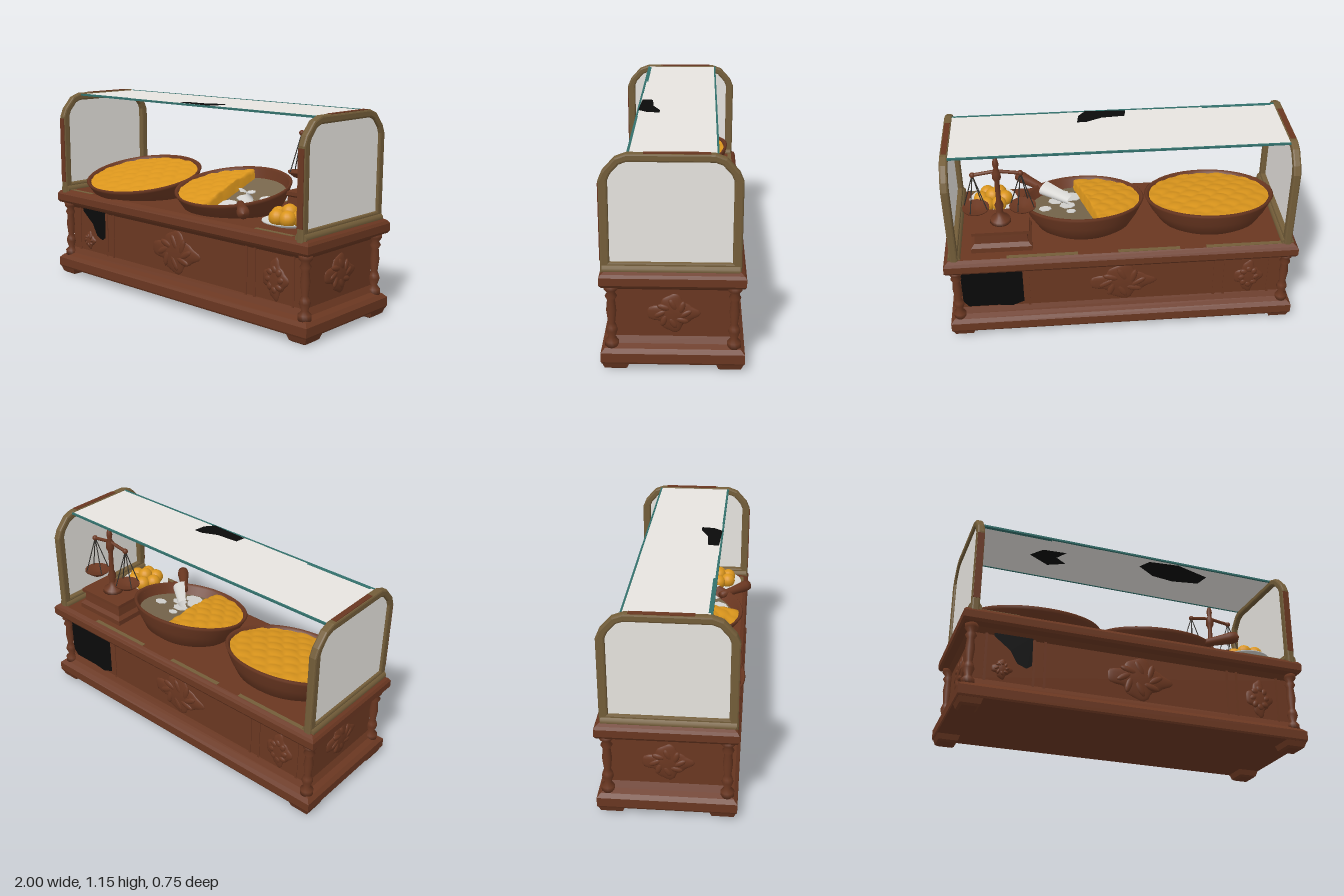
import * as THREE from 'three';

const mat = (name, color, side = THREE.FrontSide) => {
  const m = new THREE.MeshStandardMaterial({ color, side });
  m.name = name;
  return m;
};
const wood = mat('brown wood', 0x6a3721);
const brass = mat('aged brass', 0x735d39);
const glass = mat('pale glass', 0xe9e6e1, THREE.DoubleSide);
const gold = mat('golden food', 0xda951c, THREE.DoubleSide);
const black = mat('black', 0x0a0a0a, THREE.DoubleSide);
const teal = mat('teal edge', 0x33706c);
const taupe = mat('taupe lining', 0x77664c);
const silver = mat('silver', 0xd6d5d2, THREE.DoubleSide);
const iron = mat('dark iron', 0x33302c);

const CZ = -0.015, HX = 1, HZ = 0.365; // counter centre and half sizes

export function createModel() {
  const root = new THREE.Group();
  const add = (name, geo, m, x = 0, y = 0, z = 0, parent = root) => {
    const mesh = new THREE.Mesh(geo, m);
    mesh.name = name;
    mesh.position.set(x, y, z);
    parent.add(mesh);
    return mesh;
  };
  const group = (name, x, y, z) => {
    const g = new THREE.Group();
    g.name = name;
    g.position.set(x, y, z);
    root.add(g);
    return g;
  };
  const box = (w, h, d) => new THREE.BoxGeometry(w, h, d);
  const toVec = pts => pts.map(p => new THREE.Vector2(...p));
  const lathe = (pts, n = 32) => new THREE.LatheGeometry(toVec(pts), n);
  const plate = pts => new THREE.ShapeGeometry(new THREE.Shape(toVec(pts)));
  const rod = (name, a, b, r, m, parent) => {
    const p = new THREE.Vector3(...a), q = new THREE.Vector3(...b), d = q.clone().sub(p);
    const mesh = add(name, new THREE.CylinderGeometry(r, r, d.length(), 8), m, 0, 0, 0, parent);
    mesh.position.copy(p).add(q).multiplyScalar(0.5);
    mesh.quaternion.setFromUnitVectors(new THREE.Vector3(0, 1, 0), d.normalize());
  };

  // Rectangular solid lofted through [inset, y] sections
  const loft = (hx, hz, profile) => {
    const rings = profile.map(([i, y]) => [[1, 1], [1, -1], [-1, -1], [-1, 1]]
      .map(([a, b]) => [a * (hx - i), y, b * (hz - i)]));
    const pos = [], tri = (...v) => v.forEach(p => pos.push(...p));
    for (let k = 0; k + 1 < rings.length; k++) for (let i = 0; i < 4; i++) {
      const j = (i + 1) % 4, lo = rings[k], hi = rings[k + 1];
      tri(lo[i], lo[j], hi[j]);
      tri(lo[i], hi[j], hi[i]);
    }
    const b = rings[0], t = rings[rings.length - 1];
    tri(t[0], t[1], t[2]); tri(t[0], t[2], t[3]);
    tri(b[0], b[2], b[1]); tri(b[0], b[3], b[2]);
    const g = new THREE.BufferGeometry();
    g.setAttribute('position', new THREE.Float32BufferAttribute(pos, 3));
    g.computeVertexNormals();
    return g;
  };

  // Counter: plinth, recessed body and moulded top
  add('counter', loft(HX, HZ, [[0.005, 0.04], [0, 0.05], [0, 0.1], [0.02, 0.12], [0.05, 0.135], [0.068, 0.17],
    [0.07, 0.43], [0.045, 0.455], [0.01, 0.465], [0, 0.48], [0, 0.52], [0.01, 0.535], [0.03, 0.548]]), wood, 0, 0, CZ);

  // Corner feet and turned columns
  const column = [[0, 0], [0.036, 0], [0.036, 0.03], [0.018, 0.05], [0.031, 0.09], [0.026, 0.11], [0.018, 0.13],
    [0.026, 0.2], [0.02, 0.26], [0.031, 0.28], [0.02, 0.3], [0.036, 0.32], [0.036, 0.345], [0, 0.345]];
  for (const sx of [-1, 1]) for (const sz of [-1, 1]) {
    add('foot', loft(0.065, 0.07, [[0.025, 0], [0.012, 0.01], [0, 0.045]]), wood, sx * 0.93, 0, CZ + sz * 0.29);
    add('column', lathe(column, 16), wood, sx * 0.945, 0.12, CZ + sz * 0.31);
  }

  // Raised panel borders and carved ornaments; each face is a group turned outwards
  const border = (g, x0, x1) => {
    for (const x of [x0, x1]) add('panelBorder', box(0.014, 0.28, 0.01), wood, x, 0.3, 0, g);
  };
  const carving = (g, x, y, w, h) => {
    const core = new THREE.SphereGeometry(1, 32, 20), p = core.attributes.position;
    for (let i = 0; i < p.count; i++) {
      const a = Math.atan2(p.getY(i), p.getX(i));
      const k = 0.82 + 0.15 * Math.cos(4 * a) + 0.05 * Math.cos(9 * a);
      p.setXY(i, p.getX(i) * k, p.getY(i) * k);
    }
    core.scale(w, h, 0.018);
    core.computeVertexNormals();
    add('carving', core, wood, x, y, 0, g);
    for (let i = 0; i < 8; i++) {
      const a = i * Math.PI / 4;
      const leaf = add('carvedLeaf', new THREE.SphereGeometry(1, 12, 8), wood,
        x + Math.cos(a) * w * 0.45, y + Math.sin(a) * h * 0.45, 0.01, g);
      leaf.scale.set(w * 0.26, h * 0.15, 0.011);
      leaf.rotation.z = a + 0.5;
    }
  };
  const front = group('frontFace', 0, 0, CZ + HZ - 0.07);
  const back = group('backFace', 0, 0, CZ - HZ + 0.07);
  back.rotation.y = Math.PI;
  for (const g of [front, back]) {
    for (const [x0, x1] of [[-0.54, 0.54], [0.6, 0.86]]) border(g, x0, x1);
    carving(g, 0, 0.3, 0.2, 0.13);
    carving(g, 0.74, 0.29, 0.09, 0.12);
  }
  border(front, -0.86, -0.6);
  carving(front, -0.77, 0.24, 0.06, 0.06);
  add('darkOpening', plate([[-0.82, 0.44], [-0.77, 0.455], [-0.61, 0.45], [-0.61, 0.28], [-0.64, 0.26],
    [-0.69, 0.28], [-0.73, 0.35], [-0.82, 0.42]]), black, 0, 0, 0.009, front);
  add('darkOpening', plate([[-0.92, 0.41], [-0.89, 0.45], [-0.6, 0.45], [-0.57, 0.42], [-0.57, 0.2],
    [-0.64, 0.17], [-0.72, 0.18], [-0.89, 0.18], [-0.92, 0.22]]), black, 0, 0, 0.009, back);
  for (const s of [-1, 1]) {
    const side = group('sideFace', s * (HX - 0.07), 0, CZ);
    side.rotation.y = s * Math.PI / 2;
    carving(side, 0, 0.3, 0.14, 0.11);
  }

  // Worn metal strips along the counter edge
  for (const [x, w, s] of [[-0.7, 0.45, -1], [-0.15, 0.35, -1], [0.45, 0.4, -1], [-0.8, 0.2, 1], [0.75, 0.25, 1]]) {
    add('edgeStrip', box(w, 0.006, 0.024), brass, x, 0.547, CZ + s * 0.323);
  }

  // Arched end frames with glass; c sets the size of the cut corner
  const arch = (w, y0, y1, c) => [[-w, y0], [w, y0], [w, y1 - c], [w - c * 0.15, y1 - c * 0.65],
    [w - c * 0.6, y1 - c * 0.15], [w - c, y1], [-w + c, y1], [-w + c * 0.6, y1 - c * 0.15],
    [-w + c * 0.15, y1 - c * 0.65], [-w, y1 - c]];
  const archShape = new THREE.Shape(toVec(arch(0.34, 0.54, 1.14, 0.13)));
  archShape.holes.push(new THREE.Path(toVec(arch(0.313, 0.58, 1.117, 0.1)).reverse()));
  const frameGeo = new THREE.ExtrudeGeometry(archShape, { depth: 0.024, bevelThickness: 0.01, bevelSize: 0.01,
    bevelSegments: 2 });
  frameGeo.translate(0, 0, -0.012);
  for (const s of [-1, 1]) {
    const end = group('endFrame', s * 0.94, 0, -0.006);
    end.rotation.y = Math.PI / 2;
    add('archFrame', frameGeo, brass, 0, 0, 0, end);
    add('endGlass', plate(arch(0.32, 0.57, 1.125, 0.1)), glass, 0, 0, s * 0.008, end);
    add('postFacing', box(0.012, 0.4, 0.036), wood, -0.346, 0.8, 0, end);
    add('topFacing', box(0.32, 0.01, 0.03), wood, 0.03, 1.147, 0, end);
    const sill = add('frameSill', new THREE.CylinderGeometry(0.03, 0.03, 0.68, 16).rotateZ(Math.PI / 2), brass,
      0, 0.55, 0, end);
    sill.scale.z = 1.2;
  }

  // Glass roof with teal edges and dark patches
  add('roofGlass', box(1.84, 0.006, 0.43), glass, 0, 1.14, CZ);
  for (const s of [-1, 1]) add('roofEdge', box(1.84, 0.011, 0.01), teal, 0, 1.14, CZ + s * 0.216);
  for (const [x, w, d] of [[-0.7, 0.4, 0.022], [-0.35, 0.3, 0.012], [0.6, 0.62, 0.012]]) {
    add('roofEdgeWide', box(w, 0.011, d), teal, x, 1.14, 0.206 - d / 2);
  }
  const patch = (y, pts) => {
    add('darkPatch', plate(pts), black, 0, y, 0).rotation.x = Math.PI / 2;
  };
  patch(1.146, [[-0.06, 0.19], [-0.05, 0.13], [0.08, 0.12], [0.17, 0.08], [0.22, 0.08], [0.21, 0.15], [0.17, 0.2]]);
  patch(1.134, [[0.08, 0.1], [0.2, 0.02], [0.34, 0.0], [0.5, 0.03], [0.52, 0.12], [0.3, 0.19], [0.12, 0.17]]);
  patch(1.134, [[-0.58, 0.0], [-0.45, -0.08], [-0.35, -0.03], [-0.42, 0.02], [-0.38, 0.09], [-0.52, 0.08]]);

  // Bowls tilted towards the front
  const bowlWall = [[0, -0.2], [0.2, -0.19], [0.29, -0.14], [0.34, -0.07], [0.372, -0.01], [0.38, 0.005],
    [0.37, 0.012], [0.355, 0], [0.335, -0.05], [0.3, -0.1]];
  const bowl = (name, x, y, z, s) => {
    const g = group(name, x, y, z);
    g.rotation.x = 0.2;
    g.scale.set(s, 1, s * 0.91);
    add('bowlWall', lathe(bowlWall, 48), wood, 0, 0, 0, g);
    return g;
  };
  // Heaped surface covered in overlapping pieces; cut(z) optionally limits it in x
  const heap = cut => {
    const g = new THREE.RingGeometry(0, 0.352, 96, 32).rotateX(-Math.PI / 2), p = g.attributes.position;
    for (let i = 0; i < p.count; i++) {
      let x = p.getX(i), z = p.getZ(i), bump = -1;
      const row = Math.round(z / 0.08);
      for (let r = row - 1; r <= row + 1; r++) {
        const off = (r & 1) * 0.055, cx = Math.round((x - off) / 0.11) * 0.11 + off;
        bump = Math.max(bump, 1 - ((x - cx) / 0.07) ** 2 - ((z - r * 0.08) / 0.07) ** 2);
      }
      let y = 0.016 * (1 - (x * x + z * z) / 0.124) + 0.014 * bump - 0.014;
      const over = cut ? x - cut(z) : 0;
      if (over > 0) {
        // The cut face drops to the floor and stays inside the tapering wall
        x -= over * 0.8;
        y = Math.max(y - over * 0.9, -0.08);
        x *= 1 + y * 1.8;
        z *= 1 + y * 1.8;
      }
      p.setXYZ(i, x, y, z);
    }
    g.computeVertexNormals();
    return g;
  };
  const full = bowl('fullBowl', -0.54, 0.657, 0.025, 1);
  add('foodHeap', heap(), gold, 0, 0, 0, full);
  const half = bowl('halfBowl', 0.2, 0.672, 0.015, 0.93);
  add('foodHeap', heap(z => -0.02 + 0.2 * z), gold, 0, 0, 0, half);
  add('bowlFloor', new THREE.CylinderGeometry(0.335, 0.32, 0.02, 40), taupe, 0, -0.06, 0, half);
  for (const [x, z, r] of [[0.1, 0.02, 0.05], [0.17, 0.1, 0.05], [0.07, 0.16, 0.07], [0.14, 0.22, 0.06],
    [0.08, -0.08, 0.03], [0.24, -0.02, 0.04]]) {
    add('whiteCrumb', new THREE.CylinderGeometry(r, r, 0.006, 7), silver, x, -0.048, z, half);
  }

  // Scoop lying over the rim
  const scoop = group('scoop', 0.42, 0.63, 0.195);
  scoop.rotation.y = -0.78;
  const blade = new THREE.CylinderGeometry(0.045, 0.07, 0.2, 16, 1, true, 0, Math.PI);
  blade.rotateX(Math.PI).rotateZ(-Math.PI / 2).rotateX(Math.PI / 2);
  add('scoopBlade', blade, silver, -0.12, 0.02, 0, scoop).scale.y = 0.6;
  const handle = lathe([[0, 0], [0.022, 0], [0.022, 0.04], [0.028, 0.13], [0.035, 0.2], [0.03, 0.235], [0, 0.25]], 16);
  add('scoopHandle', handle.rotateZ(-Math.PI / 2), wood, -0.01, -0.005, 0, scoop);

  // Plate of round fruit
  const dish = group('fruitPlate', 0.73, 0.557, 0.16);
  add('plate', lathe([[0, 0], [0.08, 0], [0.145, 0.022], [0.145, 0.028], [0.08, 0.01], [0, 0.01]]), silver, 0, 0, 0, dish);
  for (let i = 0; i < 7; i++) {
    const a = i * Math.PI / 3, top = i === 6;
    add('fruit', new THREE.SphereGeometry(0.045, 16, 12), gold, top ? 0 : Math.cos(a) * 0.07,
      top ? 0.068 : 0.045, top ? 0 : Math.sin(a) * 0.07, dish);
  }

  // Balance scale on a stepped block
  const scale = group('balanceScale', 0.675, 0.548, -0.17);
  add('scaleBase', loft(0.17, 0.12, [[0, 0], [0, 0.03], [0.02, 0.05], [0.025, 0.1], [0.01, 0.11], [0.01, 0.13]]),
    wood, 0, 0, 0, scale);
  add('scalePost', lathe([[0, 0.13], [0.06, 0.13], [0.055, 0.15], [0.025, 0.17], [0.018, 0.2], [0.025, 0.24],
    [0.014, 0.27], [0.014, 0.4], [0.024, 0.42], [0.024, 0.46], [0.012, 0.48], [0.018, 0.51], [0.012, 0.54],
    [0, 0.55]], 20), wood, 0, 0, 0, scale);
  for (const s of [-1, 1]) {
    const x = s * 0.13, y = 0.445;
    rod('scaleBeam', [0, 0.465, 0], [x, y, 0], 0.01, wood, scale);
    add('beamKnob', new THREE.SphereGeometry(0.016, 12, 8), wood, x, y, 0, scale);
    add('pan', lathe([[0, 0.19], [0.04, 0.198], [0.075, 0.225], [0.075, 0.232], [0.04, 0.215], [0, 0.21]], 24),
      wood, x, 0, 0, scale);
    for (let i = 0; i < 4; i++) {
      const a = i * Math.PI / 2 + 0.4;
      rod('panCord', [x, y, 0], [x + Math.cos(a) * 0.07, 0.228, Math.sin(a) * 0.07], 0.003, iron, scale);
    }
  }
  return root;
}
